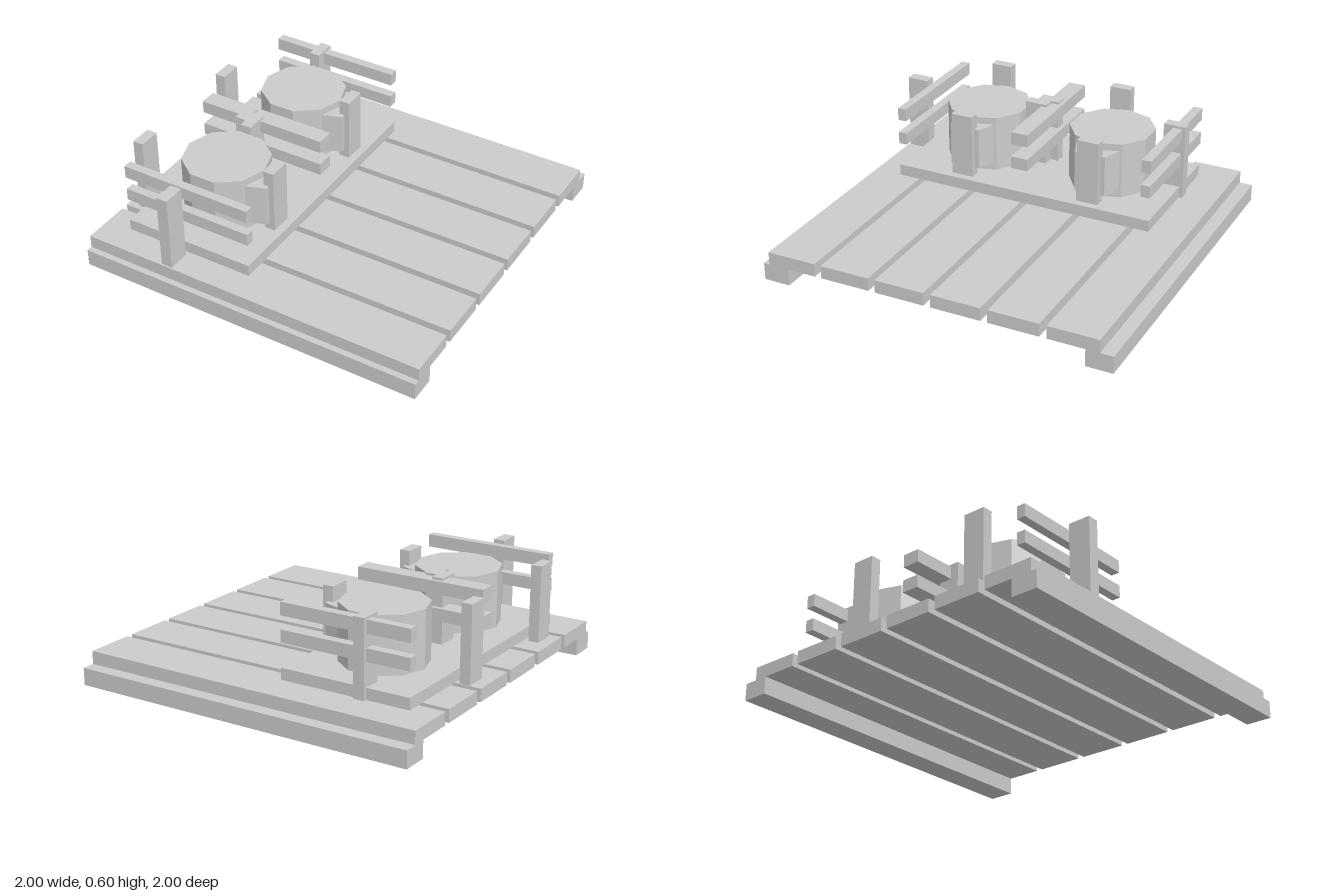
import * as THREE from 'three';

export function createModel() {
  const model = new THREE.Group();
  const material = new THREE.MeshStandardMaterial({ color: 0xcccccc, flatShading: true });

  function add(name, geometry) {
    const mesh = new THREE.Mesh(geometry, material);
    mesh.name = name;
    model.add(mesh);
    return mesh;
  }

  // Box given by its extents along each axis
  function box(name, [x0, x1], [y0, y1], [z0, z1]) {
    const mesh = add(name, new THREE.BoxGeometry(x1 - x0, y1 - y0, z1 - z0));
    mesh.position.set((x0 + x1) / 2, (y0 + y1) / 2, (z0 + z1) / 2);
  }

  // Deck: two ground rails carrying six planks
  box('frontGroundRail', [-1, 1], [0, 0.097], [0.85, 1]);
  box('backGroundRail', [-1, 1], [0, 0.097], [-1, -0.85]);
  for (let i = 0; i < 6; i++) {
    const z = -0.926 + i * 0.3218;
    box('deckPlank', [-1, 1], [0.097, 0.17], [z, z + 0.283]);
  }

  // Raised platform on one side of the deck
  const platformX = [-0.85, -0.09];
  box('platform', platformX, [0.17, 0.235], [-0.725, 0.806]);

  // Two fence bars at the back, the middle and the front
  for (const z of [[-0.725, -0.672], [-0.003, 0.097], [0.757, 0.806]]) {
    box('lowerFenceBar', platformX, [0.37, 0.44], z);
    box('upperFenceBar', platformX, [0.515, 0.587], z);
  }

  // Posts holding the bars
  box('backPost', [-0.6, -0.537], [0.17, 0.6], [-0.745, -0.618]);
  box('middlePostA', [-0.6, -0.535], [0.17, 0.6], [0.02, 0.145]);
  box('middlePostB', [-0.535, -0.47], [0.17, 0.6], [0.066, 0.193]);
  box('frontPost', [-0.535, -0.47], [0.17, 0.6], [0.83, 0.956]);

  // Wedge bracket outline in plan, drawn with shape y = -z
  const wedge = new THREE.Shape([
    [-0.32, -0.145], [-0.165, -0.088], [-0.165, 0.088], [-0.32, 0.145],
  ].map(([x, y]) => new THREE.Vector2(x, y)));

  for (const z of [-0.343, 0.424]) {
    // Ten-sided drum
    const drum = add('drum', new THREE.CylinderGeometry(0.24, 0.24, 0.325, 10)
      .rotateY(Math.PI / 2));
    drum.position.set(-0.47, 0.3925, z);

    // Bracket between the drum and its inner post
    const bracket = add('drumBracket', new THREE.ExtrudeGeometry(wedge, {
      depth: 0.235, bevelEnabled: false,
    }).rotateX(-Math.PI / 2));
    bracket.position.set(0, 0.28, z);

    // Posts on both sides of the drum
    box('innerPost', [-0.195, -0.134], [0.17, 0.6], [z - 0.062, z + 0.064]);
    box('outerPost', [-0.935, -0.875], [0.17, 0.6], [z + 0.066, z + 0.192]);
  }

  return model;
}
